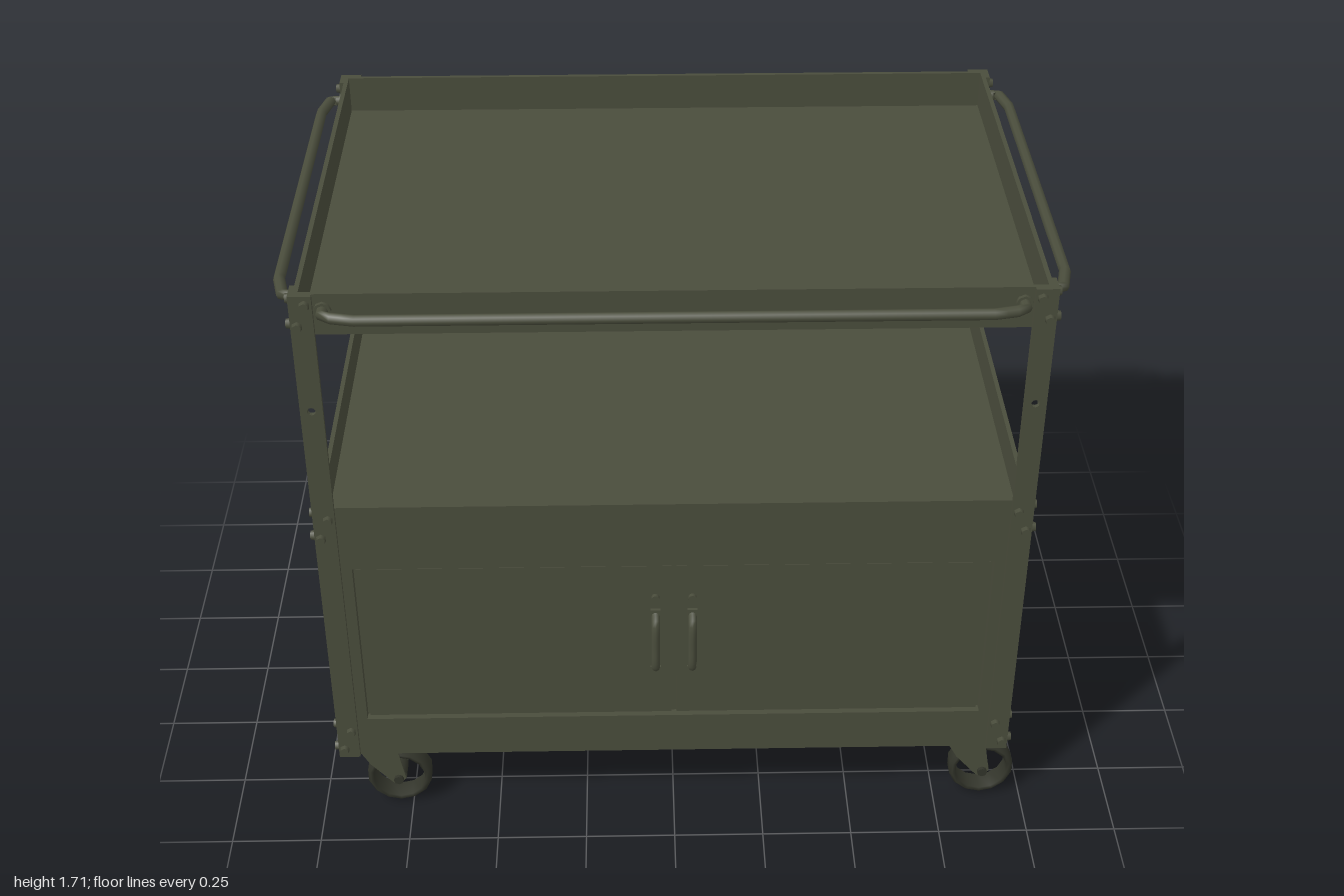
import * as THREE from 'three';

const olive = new THREE.MeshStandardMaterial({ color: 0x4a4d3c });
olive.name = 'olive paint';
const dark = new THREE.MeshStandardMaterial({ color: 0x32342a });
dark.name = 'dark tyre';

function add(parent, name, geo, x = 0, y = 0, z = 0, mat = olive) {
  const m = new THREE.Mesh(geo, mat);
  m.name = name;
  m.position.set(x, y, z);
  parent.add(m);
  return m;
}

// Box given by its lower and upper bounds
function box(parent, name, x0, x1, y0, y1, z0, z1) {
  return add(parent, name, new THREE.BoxGeometry(x1 - x0, y1 - y0, z1 - z0),
    (x0 + x1) / 2, (y0 + y1) / 2, (z0 + z1) / 2);
}

// Open tray: a floor plate with four thin walls
function tray(name, bottom, top, floor) {
  const g = new THREE.Group();
  g.name = name;
  const X = 0.93, Z = 0.62, t = 0.012;
  box(g, 'trayFloor', -X + t, X - t, floor, floor + t, -Z + t, Z - t);
  for (const s of [-1, 1]) {
    const w = box(g, 'trayLongWall', -X, X, bottom, top, Z - t, Z);
    w.position.z *= s;
    const e = box(g, 'trayEndWall', X - t, X, bottom, top, -Z + t, Z - t);
    e.position.x *= s;
  }
  return g;
}

// One flange of an angle post, with a bolt hole through it
function flange(width) {
  const s = new THREE.Shape();
  s.moveTo(0, 0.21);
  s.lineTo(width, 0.21);
  s.lineTo(width, 1.715);
  s.lineTo(0, 1.715);
  s.closePath();
  const h = new THREE.Path();
  h.absarc(width / 2, 1.38, 0.011, 0, Math.PI * 2, true);
  s.holes.push(h);
  return new THREE.ExtrudeGeometry(s, { depth: 0.012, bevelEnabled: false, curveSegments: 6 });
}

// Corner post: two flanges and pairs of bolts
function post(sx, sz) {
  const g = new THREE.Group();
  g.name = 'cornerPost';
  const f = add(g, 'postFlange', flange(0.058), sx > 0 ? 0.884 : -0.942, 0, sz > 0 ? 0.62 : -0.632);
  f.name = 'frontFlange';
  const e = add(g, 'sideFlange', flange(0.056), sx > 0 ? 0.93 : -0.942, 0, sz > 0 ? 0.632 : -0.576);
  e.rotation.y = Math.PI / 2;
  const bolt = new THREE.CylinderGeometry(0.012, 0.014, 0.014, 6);
  for (const y of [0.24, 0.305, 0.98, 1.04, 1.63, 1.69]) {
    const low = y === 0.24 || y === 0.98 || y === 1.63;
    add(g, 'bolt', bolt, sx * (low ? 0.925 : 0.902), y, sz * 0.638).rotation.x = sz * Math.PI / 2;
    add(g, 'bolt', bolt, sx * 0.947, y, sz * (low ? 0.615 : 0.595)).rotation.z = -sx * Math.PI / 2;
  }
  return g;
}

// Push rail: a slim bar that bends in to the tray at both ends
function rail(half, out, wall) {
  const g = new THREE.Group();
  g.name = 'pushRail';
  const path = new THREE.CurvePath();
  const pts = [[-half, wall], [-half, out - 0.018], [-half + 0.08, out], [half - 0.08, out],
    [half, out - 0.018], [half, wall]].map(([x, z]) => new THREE.Vector3(x, 0, z));
  for (let i = 0; i + 1 < pts.length; i++) path.add(new THREE.LineCurve3(pts[i], pts[i + 1]));
  add(g, 'railBar', new THREE.TubeGeometry(path, 60, 0.015, 8), 0, 1.672, 0);
  for (const s of [-1, 1])
    add(g, 'railFoot', new THREE.CylinderGeometry(0.022, 0.022, 0.012, 8), s * half, 1.672, wall + 0.004)
      .rotation.x = Math.PI / 2;
  return g;
}

// Swivel caster, with the wheel trailing towards +x
function caster(x, z) {
  const g = new THREE.Group();
  g.name = 'caster';
  add(g, 'swivelPlate', new THREE.BoxGeometry(0.11, 0.012, 0.085), 0, 0.204, 0);
  add(g, 'swivelNeck', new THREE.CylinderGeometry(0.03, 0.03, 0.02, 12), 0, 0.193, 0);
  const s = new THREE.Shape();
  [[-0.05, 0.2], [0.055, 0.2], [0.072, 0.1], [0.055, 0.08], [0.035, 0.085], [-0.025, 0.155]]
    .forEach(([a, b], i) => (i ? s.lineTo(a, b) : s.moveTo(a, b)));
  s.closePath();
  const side = new THREE.ExtrudeGeometry(s, { depth: 0.006, bevelEnabled: false });
  for (const k of [0.034, -0.04]) add(g, 'forkSide', side, 0, 0, k);
  // Hollow wheel ring
  const p = [[0.074, -0.028], [0.084, -0.03], [0.092, -0.02], [0.092, 0.02], [0.084, 0.03],
    [0.074, 0.028], [0.074, -0.028]].map(([a, b]) => new THREE.Vector2(a, b));
  add(g, 'tyre', new THREE.LatheGeometry(p, 14), 0.052, 0.095, 0, dark).rotation.x = Math.PI / 2;
  add(g, 'axle', new THREE.CylinderGeometry(0.014, 0.014, 0.1, 8), 0.052, 0.1, 0, dark).rotation.x = Math.PI / 2;
  add(g, 'hub', new THREE.CylinderGeometry(0.022, 0.022, 0.056, 10), 0.052, 0.1, 0, dark).rotation.x = Math.PI / 2;
  g.position.set(x, 0, z);
  return g;
}

// Cabinet door with pull handle and lock
function door(s) {
  const g = new THREE.Group();
  g.name = s > 0 ? 'leftDoor' : 'rightDoor';
  box(g, 'doorPanel', s > 0 ? 0.007 : -0.847, s > 0 ? 0.847 : -0.007, 0.347, 0.86, 0.59, 0.611);
  const path = new THREE.CatmullRomCurve3([[0.7, 0.608], [0.68, 0.634], [0.6, 0.64], [0.53, 0.634], [0.51, 0.608]]
    .map(([y, z]) => new THREE.Vector3(s * 0.05, y, z)));
  add(g, 'pullHandle', new THREE.TubeGeometry(path, 16, 0.012, 8));
  for (const y of [0.5, 0.7])
    add(g, 'handleFoot', new THREE.BoxGeometry(0.028, 0.03, 0.01), s * 0.05, y, 0.614);
  add(g, 'lock', new THREE.CylinderGeometry(0.011, 0.011, 0.014, 10), s * 0.05, 0.755, 0.615).rotation.x = Math.PI / 2;
  return g;
}

export function createModel() {
  const cart = new THREE.Group();
  cart.name = 'utilityCart';

  cart.add(tray('topTray', 1.6, 1.715, 1.6));
  cart.add(tray('middleTray', 0.88, 1.07, 0.96));
  cart.add(tray('baseTray', 0.21, 0.335, 0.21));

  // Cabinet body, set back slightly from the tray walls
  box(cart, 'cabinetBody', -0.922, 0.922, 0.225, 0.955, -0.612, 0.596);

  // Front frame around the doors
  box(cart, 'frameTop', -0.93, 0.93, 0.868, 0.88, 0.59, 0.62);
  box(cart, 'frameBottom', -0.93, 0.93, 0.335, 0.34, 0.59, 0.62);
  for (const s of [-1, 1]) {
    const f = box(cart, 'frameSide', 0.855, 0.93, 0.34, 0.868, 0.59, 0.62);
    f.position.x *= s;
    cart.add(door(s));
  }

  // Posts and casters at the four corners
  for (const sx of [-1, 1])
    for (const sz of [-1, 1]) {
      cart.add(post(sx, sz));
      cart.add(caster(sx > 0 ? 0.833 : -0.837, sz * 0.565));
    }

  // Rails on all four sides of the top tray
  for (let i = 0; i < 4; i++) {
    const r = i % 2 ? rail(0.55, 0.985, 0.93) : rail(0.86, 0.675, 0.62);
    r.rotation.y = i * Math.PI / 2;
    cart.add(r);
  }
  return cart;
}
